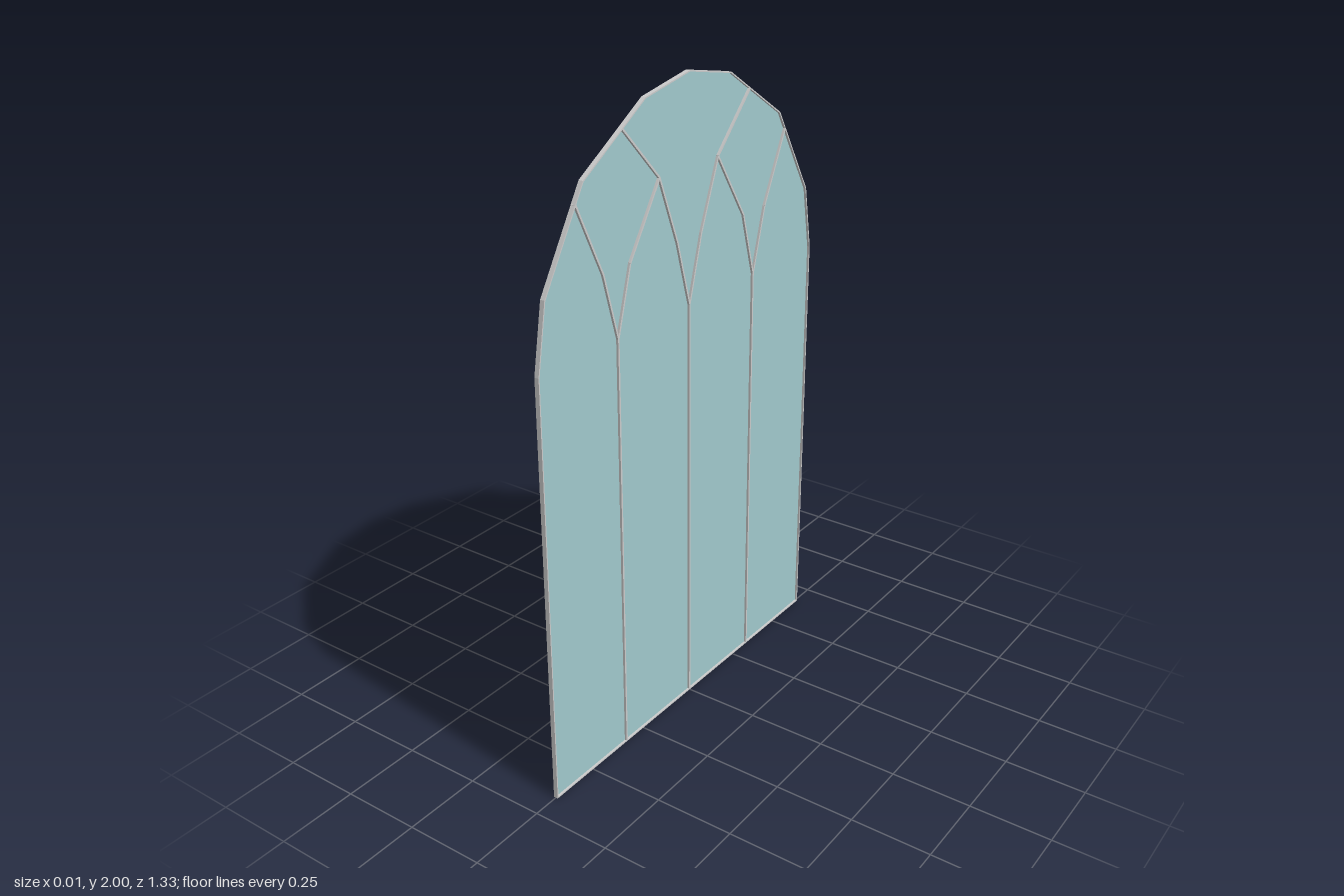
import * as THREE from 'three';

const DEPTH = 0.014; // frame and bar depth
const BAR = 0.006; // bar face width
const SPRING = 1.33; // height where the arches begin

const grey = new THREE.MeshStandardMaterial({ color: 0xcccccc, flatShading: true });
const glassMaterial = new THREE.MeshStandardMaterial({ color: 0xa0c8cc, side: THREE.DoubleSide });

// Faceted arch outline, mirrored from its right half
function outlinePoints(inset = 0) {
  const half = [[0.665, 0], [0.665, SPRING], [0.63, 1.53], [0.465, 1.8], [0.2, 1.963]];
  const all = [...half, [0, 2], ...half.map(([x, y]) => [-x, y]).reverse()];
  return all.map(([x, y]) => new THREE.Vector2(x * (1 - inset / 0.665), 1 + (y - 1) * (1 - inset)));
}

// Straight glazing bars along a list of points
function addBars(parent, name, points) {
  const bars = new THREE.Group();
  bars.name = name;
  for (let i = 1; i < points.length; i++) {
    const [x0, y0] = points[i - 1];
    const [x1, y1] = points[i];
    const length = Math.hypot(x1 - x0, y1 - y0);
    const bar = new THREE.Mesh(new THREE.BoxGeometry(BAR, length, DEPTH), grey);
    bar.name = name + 'Segment';
    bar.position.set((x0 + x1) / 2, (y0 + y1) / 2, 0);
    bar.rotation.z = -Math.atan2(x1 - x0, y1 - y0);
    bars.add(bar);
  }
  parent.add(bars);
}

export function createModel() {
  const model = new THREE.Group();
  model.name = 'archedWindow';

  // Built facing +z, then turned so that the panes face sideways
  const windowPanel = new THREE.Group();
  windowPanel.name = 'windowPanel';
  windowPanel.rotation.y = Math.PI / 2;
  model.add(windowPanel);

  // Glass sheet in the middle of the frame depth
  const glass = new THREE.Mesh(new THREE.ShapeGeometry(new THREE.Shape(outlinePoints(0.002))), glassMaterial);
  glass.name = 'glass';
  windowPanel.add(glass);

  // Thin outer rim
  const rim = new THREE.Shape(outlinePoints());
  rim.holes.push(new THREE.Path(outlinePoints(0.004)));
  const rimGeometry = new THREE.ExtrudeGeometry(rim, { depth: DEPTH, bevelEnabled: false });
  rimGeometry.translate(0, 0, -DEPTH / 2);
  const frame = new THREE.Mesh(rimGeometry, grey);
  frame.name = 'frame';
  windowPanel.add(frame);

  // Upright bars
  for (const x of [-0.333, 0, 0.333]) addBars(windowPanel, 'mullion', [[x, 0], [x, SPRING]]);

  // Branching tracery, mirrored
  for (const s of [-1, 1]) {
    addBars(windowPanel, 'centreTracery', [[0, SPRING], [s * 0.058, 1.53], [s * 0.14, 1.735], [s * 0.3, 1.9]]);
    addBars(windowPanel, 'innerTracery', [[s * 0.333, SPRING], [s * 0.275, 1.53], [s * 0.14, 1.735]]);
    addBars(windowPanel, 'outerTracery', [[s * 0.333, SPRING], [s * 0.391, 1.53], [s * 0.497, 1.746]]);
  }
  return model;
}
